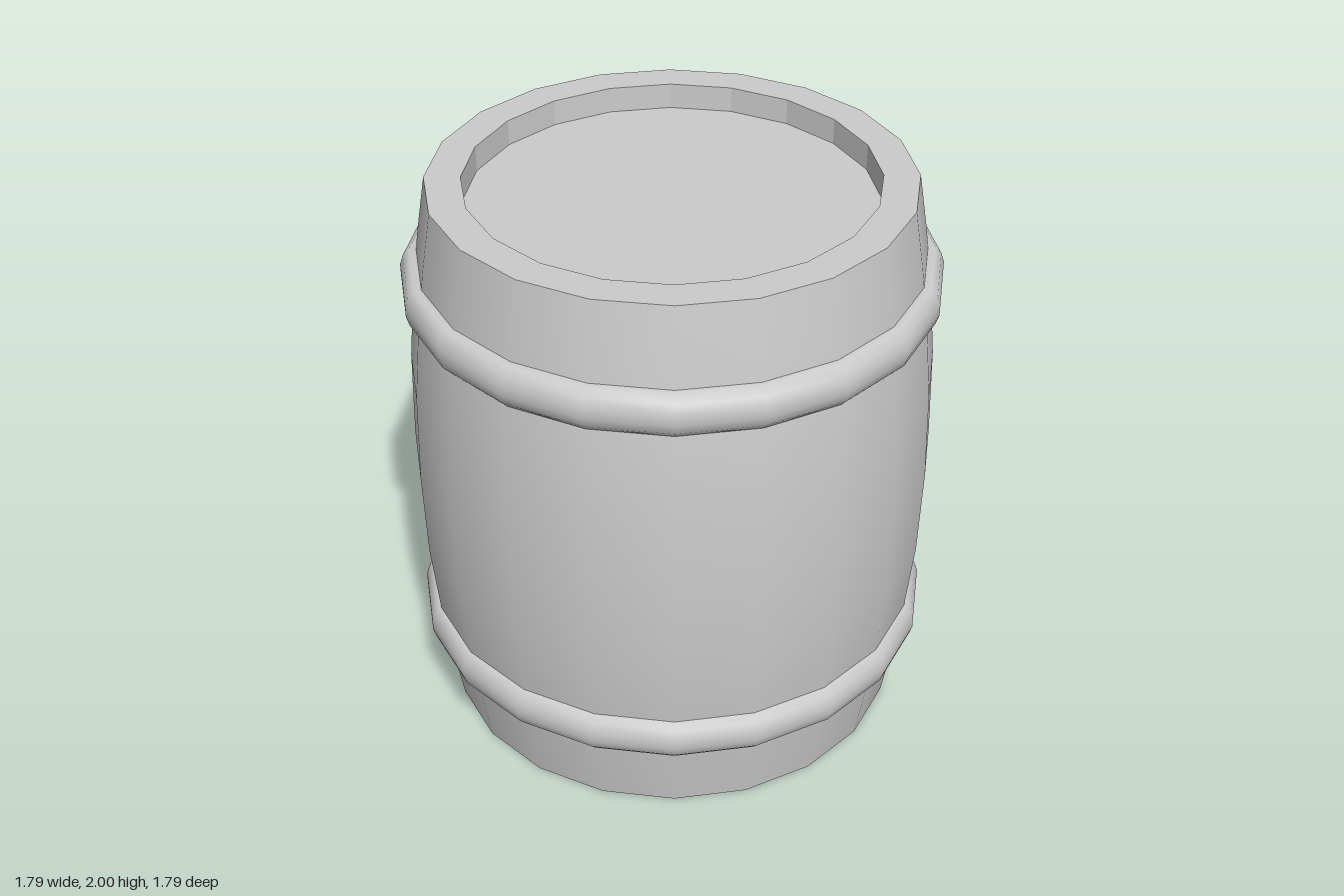
import * as THREE from 'three';

const SIDES = 20;
const TURN = 0.19; // the facets sit slightly rotated about the axis

// Revolves a profile of [radius, height] pairs
function lathe(name, profile, flat = false) {
  const points = profile.map(([r, y]) => new THREE.Vector2(r, y));
  const geometry = new THREE.LatheGeometry(points, SIDES, TURN);
  const material = new THREE.MeshStandardMaterial({ color: 0xcccccc, flatShading: flat });
  const mesh = new THREE.Mesh(geometry, material);
  mesh.name = name;
  return mesh;
}

export function createModel() {
  const barrel = new THREE.Group();
  barrel.name = 'barrel';

  const endRadius = 0.805, lidRadius = 0.685, recess = 0.09;

  // Bulging wall, symmetric about mid height
  const lower = [[endRadius, 0], [0.838, 0.2], [0.868, 0.42], [0.893, 0.68]];
  const upper = lower.map(([r, y]) => [r, 2 - y]).reverse();
  barrel.add(lathe('staves', [...lower, [0.902, 1], ...upper]));

  // Rim, recess wall and lid at each end
  barrel.add(
    lathe('bottomRim', [[lidRadius, 0], [endRadius, 0]], true),
    lathe('bottomRecessWall', [[lidRadius, recess], [lidRadius, 0]], true),
    lathe('bottomLid', [[0, recess], [lidRadius, recess]], true),
    lathe('topRim', [[endRadius, 2], [lidRadius, 2]], true),
    lathe('topRecessWall', [[lidRadius, 2], [lidRadius, 2 - recess]], true),
    lathe('topLid', [[lidRadius, 2 - recess], [0, 2 - recess]], true)
  );

  // Rounded hoops around the wall
  const hoopProfile = [
    [0.83, -0.075], [0.872, -0.075], [0.893, -0.052], [0.904, -0.018],
    [0.904, 0.018], [0.893, 0.052], [0.872, 0.075], [0.83, 0.075],
  ];
  for (const [name, y] of [['lowerHoop', 0.343], ['upperHoop', 1.657]]) {
    const hoop = lathe(name, hoopProfile);
    hoop.position.y = y;
    barrel.add(hoop);
  }

  return barrel;
}
